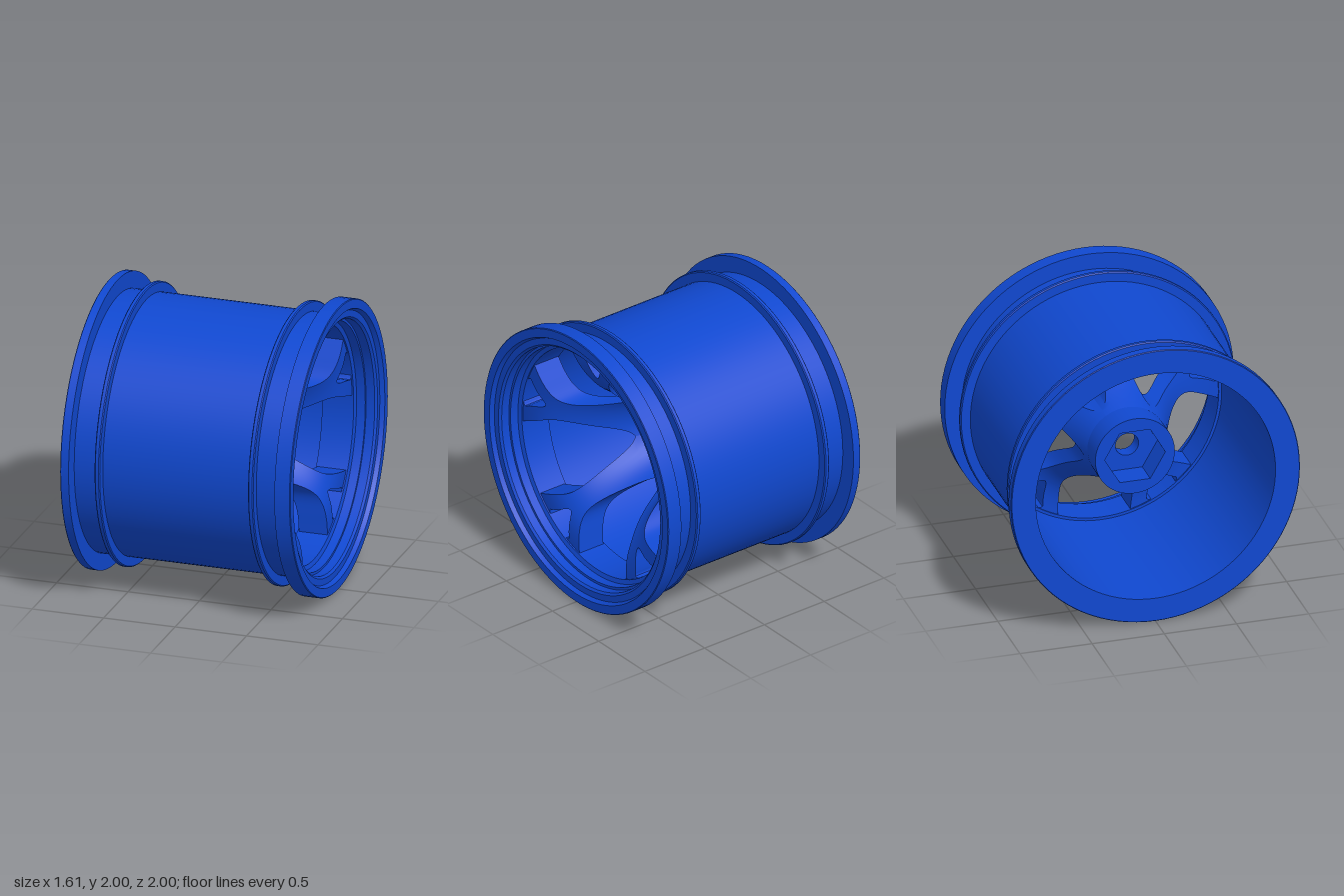
import * as THREE from 'three';
import { toCreasedNormals } from 'three/addons/utils/BufferGeometryUtils.js';

const DEG = Math.PI / 180;
const SPOKES = 5, HALF = 36, FIRST = 93.8;   // spoke layout, in degrees

// Linear lookup in a table of [position, value] pairs
function lookup(table, t) {
  if (t <= table[0][0]) return table[0][1];
  for (let i = 1; i < table.length; i++) {
    const [a, va] = table[i - 1], [b, vb] = table[i];
    if (t <= b) return va + (vb - va) * (t - a) / (b - a);
  }
  return table[table.length - 1][1];
}

// Half outline of a window between two spokes (distance from axle, sideways)
const windowEdge = new THREE.SplineCurve([
  [0.289, 0], [0.302, 0.05], [0.335, 0.11], [0.4, 0.19], [0.46, 0.237], [0.53, 0.258], [0.65, 0.256], [0.775, 0.251],
].map(([u, v]) => new THREE.Vector2(u, v))).getPoints(32);
const outerAngle = windowEdge.map(p => [p.length(), HALF - Math.atan2(p.y, p.x) / DEG]);

// Half angle of the small triangular hole in the fork of each spoke
const forkAngle = [[0.62, 0], [0.625, 0.9], [0.635, 2], [0.66, 3.4], [0.765, 7.8], [0.782, 8.7],
  [0.792, 8.8], [0.803, 8.2], [0.81, 7], [0.82, 6.5]];

// Dished front and back of the spokes
const frontX = r => 0.62 - 0.52 * Math.pow(Math.max(0, 0.82 - r) / 0.53, 3);
const backX = r => Math.max(frontX(r) - 0.2, -0.25);

function spokeGeometry() {
  const radii = [0.215, 0.24, 0.265, ...outerAngle.map(p => p[0]), ...forkAngle.map(p => p[0])]
    .sort((a, b) => a - b).filter((r, i, all) => i === 0 || r - all[i - 1] > 0.0008);
  const pos = [];
  const quad = (a, b, c, d) => pos.push(...a, ...b, ...c, ...a, ...c, ...d);
  const at = (x, r, deg) => [x, r * Math.sin(deg * DEG), -r * Math.cos(deg * DEG)];
  const COLS = 4;
  for (const side of [1, -1]) {
    for (let i = 0; i + 1 < radii.length; i++) {
      const r0 = radii[i], r1 = radii[i + 1];
      const limits = r => {
        const a = lookup(forkAngle, r), b = lookup(outerAngle, r);
        return side > 0 ? [a, b] : [-b, -a];
      };
      const [lo0, hi0] = limits(r0), [lo1, hi1] = limits(r1);
      const f0 = frontX(r0), f1 = frontX(r1), b0 = backX(r0), b1 = backX(r1);
      // front and back skins
      for (let c = 0; c < COLS; c++) {
        const s = c / COLS, t = (c + 1) / COLS;
        const p0 = lo0 + (hi0 - lo0) * s, q0 = lo0 + (hi0 - lo0) * t;
        const p1 = lo1 + (hi1 - lo1) * s, q1 = lo1 + (hi1 - lo1) * t;
        quad(at(f0, r0, p0), at(f1, r1, p1), at(f1, r1, q1), at(f0, r0, q0));
        quad(at(b0, r0, q0), at(b1, r1, q1), at(b1, r1, p1), at(b0, r0, p0));
      }
      // side walls, left out where neighbouring strips join
      const open = (a, b) => [a, b].some(v => Math.abs(v) > 0.01 && Math.abs(v) < HALF - 0.01);
      if (open(hi0, hi1))
        quad(at(b0, r0, hi0), at(f0, r0, hi0), at(f1, r1, hi1), at(b1, r1, hi1));
      if (open(lo0, lo1))
        quad(at(b1, r1, lo1), at(f1, r1, lo1), at(f0, r0, lo0), at(b0, r0, lo0));
    }
  }
  const geo = new THREE.BufferGeometry();
  geo.setAttribute('position', new THREE.Float32BufferAttribute(pos, 3));
  return toCreasedNormals(geo, 0.6);
}

// Ring turned around the x axis from a closed [x, radius] profile
function turned(profile) {
  const geo = new THREE.LatheGeometry(profile.map(([x, r]) => new THREE.Vector2(r, x)), 96);
  geo.rotateZ(-Math.PI / 2);
  return toCreasedNormals(geo, 0.5);
}

// Disc from x0 to x1 with a hole of the given number of sides
function drilledDisc(radius, holeRadius, sides, x0, x1) {
  const shape = new THREE.Shape().absarc(0, 0, radius, 0, Math.PI * 2);
  const hole = [];
  for (let i = 0; i < sides; i++) {
    const a = -i / sides * Math.PI * 2;
    hole.push(new THREE.Vector2(Math.cos(a) * holeRadius, Math.sin(a) * holeRadius));
  }
  shape.holes.push(new THREE.Path(hole));
  const geo = new THREE.ExtrudeGeometry(shape, { depth: x1 - x0, bevelEnabled: false, curveSegments: 48 });
  geo.rotateY(Math.PI / 2).translate(x0, 0, 0);
  return toCreasedNormals(geo, 0.5);
}

export function createModel() {
  const model = new THREE.Group();
  model.name = 'wheelRim';
  const blue = new THREE.MeshStandardMaterial({ color: 0x1048d0 });
  blue.name = 'blue';
  const wheel = new THREE.Group();
  wheel.name = 'wheel';
  wheel.position.y = 1;
  model.add(wheel);
  const add = (name, geo) => {
    const mesh = new THREE.Mesh(geo, blue);
    mesh.name = name;
    wheel.add(mesh);
    return mesh;
  };

  // Barrel with both flanges, stepped front lip and hollow inside
  add('barrel', turned([
    [-0.805, 0.83], [-0.805, 0.995], [-0.8, 1], [-0.745, 1], [-0.745, 0.885], [0.695, 0.885], [0.695, 1],
    [0.8, 1], [0.805, 0.995], [0.805, 0.935], [0.775, 0.92], [0.775, 0.875], [0.76, 0.86],
    [0.7, 0.86], [0.7, 0.842], [0.64, 0.84], [0.63, 0.81], [0.41, 0.81], [0.41, 0.83], [-0.805, 0.83],
  ]));

  // Thin bead ridges around the barrel
  for (const [name, x] of [['rearRidge', -0.563], ['frontRidge', 0.511]]) {
    add(name, turned([
      [x - 0.018, 0.88], [x - 0.018, 0.947], [x - 0.011, 0.954], [x + 0.011, 0.954],
      [x + 0.018, 0.947], [x + 0.018, 0.88],
    ]));
  }

  // Forked spokes
  const spoke = spokeGeometry();
  for (let i = 0; i < SPOKES; i++) {
    add('spoke' + (i + 1), spoke).rotation.x = (FIRST + i * 360 / SPOKES) * DEG;
  }

  // Hub: round axle hole in front, hexagonal socket behind
  add('hubFront', drilledDisc(0.23, 0.08, 32, -0.16, -0.06));
  add('hubSocket', drilledDisc(0.275, 0.21, 6, -0.34, -0.16));
  return model;
}
